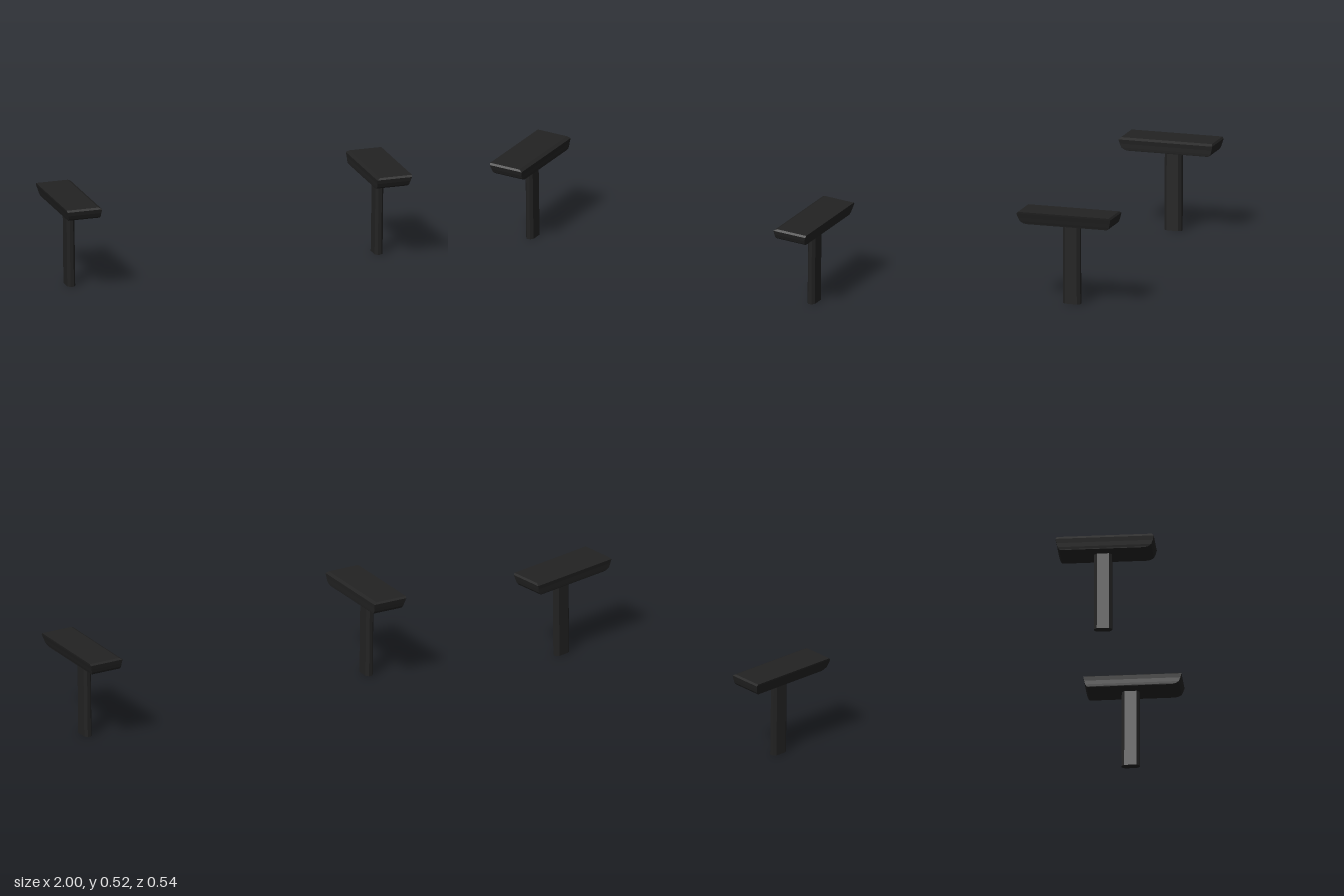
import * as THREE from 'three';

// Flat-shaded solid from stacked rings (bottom to top, anticlockwise from above); side = -1 mirrors x
function loft(rings, side) {
  if (side < 0) rings = rings.map(r => r.map(([x, y, z]) => [-x, y, z]).reverse());
  const out = [];
  const tri = (a, b, c) => out.push(...a, ...b, ...c);
  const n = rings[0].length;
  for (let k = 0; k < rings.length - 1; k++) {
    const lo = rings[k], hi = rings[k + 1];
    for (let i = 0; i < n; i++) {
      const j = (i + 1) % n;
      tri(lo[i], lo[j], hi[j]);
      tri(lo[i], hi[j], hi[i]);
    }
  }
  const bottom = rings[0], top = rings[rings.length - 1];
  for (let i = 1; i < n - 1; i++) {
    tri(bottom[0], bottom[i + 1], bottom[i]);
    tri(top[0], top[i], top[i + 1]);
  }
  const g = new THREE.BufferGeometry();
  g.setAttribute('position', new THREE.Float32BufferAttribute(out, 3));
  g.computeVertexNormals();
  return g;
}

// Rectangle with cut corners
function octagon(x0, x1, z0, z1, y, cx, cz) {
  return [
    [x0 + cx, y, z1], [x1 - cx, y, z1], [x1, y, z1 - cz], [x1, y, z0 + cz],
    [x1 - cx, y, z0], [x0 + cx, y, z0], [x0, y, z0 + cz], [x0, y, z1 - cz],
  ];
}

// Pad levels: y, back z, front z, inner x, outer x
const PAD_LEVELS = [
  [0.449, -0.245, 0.220, 0.803, 0.980],
  [0.453, -0.251, 0.238, 0.802, 0.981],
  [0.465, -0.259, 0.256, 0.801, 0.985],
  [0.487, -0.265, 0.265, 0.800, 0.991],
  [0.510, -0.270, 0.271, 0.797, 0.998],
  [0.520, -0.262, 0.262, 0.815, 1.000],
];

export function createModel() {
  const model = new THREE.Group();
  model.name = 'armrests';
  const black = new THREE.MeshStandardMaterial({ color: 0x222222 });
  black.name = 'black plastic';

  for (const side of [1, -1]) {
    const arm = new THREE.Group();
    arm.name = side > 0 ? 'leftArmrest' : 'rightArmrest';

    // Pad with tapered outer side and rounded-under ends
    const padRings = PAD_LEVELS.map(([y, z0, z1, x0, x1]) =>
      [[x0, y, z1], [x1, y, z1], [x1, y, z0], [x0, y, z0]]);
    const pad = new THREE.Mesh(loft(padRings, side), black);
    pad.name = 'armPad';

    // Post with cut corners, leaning slightly outward
    const post = new THREE.Mesh(loft([
      octagon(0.867, 0.913, -0.066, 0.033, 0, 0.013, 0.016),
      octagon(0.873, 0.918, -0.065, 0.033, 0.455, 0.013, 0.016),
    ], side), black);
    post.name = 'armPost';

    arm.add(pad, post);
    model.add(arm);
  }
  return model;
}
